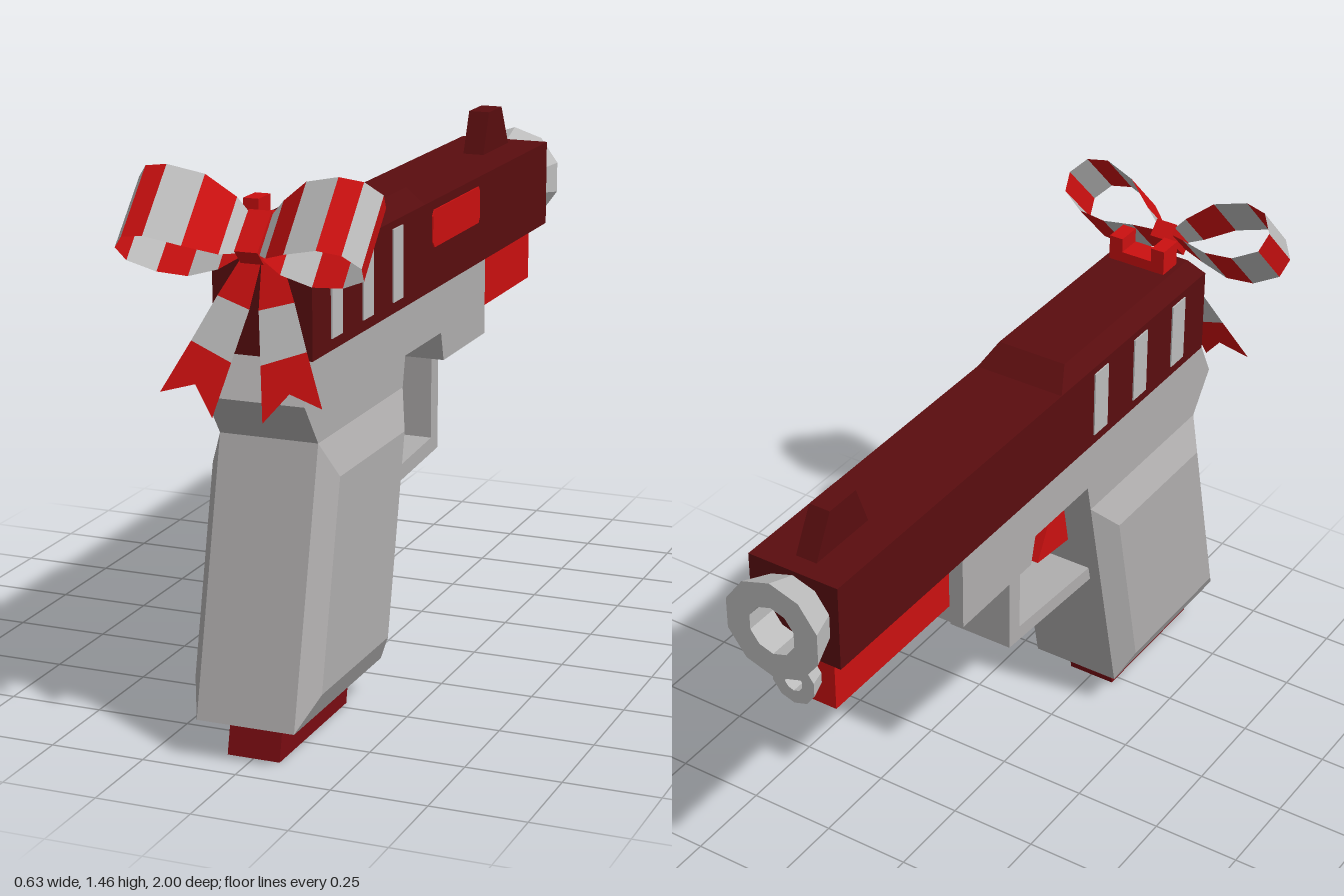
import * as THREE from 'three';
import { ConvexGeometry } from 'three/addons/geometries/ConvexGeometry.js';

const mat = (name, color, side = THREE.FrontSide) => {
  const m = new THREE.MeshStandardMaterial({ color, side });
  m.name = name;
  return m;
};

export function createModel() {
  const model = new THREE.Group();
  const grey = mat('frame grey', 0xb0aeae);
  const pale = mat('pale grey', 0xbcbcbc, THREE.DoubleSide);
  const red = mat('bright red', 0xcb1010, THREE.DoubleSide);
  const dark = mat('dark red', 0x5a0d0f);
  const wine = mat('wine red', 0x7a0c12);

  const add = (name, geometry, material, parent = model) => {
    const mesh = new THREE.Mesh(geometry, material);
    mesh.name = name;
    parent.add(mesh);
    return mesh;
  };

  // Side profile given as [z, y], extruded across x around a centre
  const profile = (name, pts, halfWidth, material, x = 0) => {
    const shape = new THREE.Shape(pts.map(([z, y]) => new THREE.Vector2(z, y)));
    const g = new THREE.ExtrudeGeometry(shape, { depth: halfWidth * 2, bevelEnabled: false });
    g.translate(0, 0, -halfWidth).rotateY(-Math.PI / 2).translate(x, 0, 0);
    return add(name, g, material);
  };
  const rect = (z0, z1, y0, y1) => [[z0, y0], [z1, y0], [z1, y1], [z0, y1]];

  // Convex solid from [x, y, z] points mirrored over x
  const hull = (name, pts, material) => add(name, new ConvexGeometry(
    pts.flatMap(([x, y, z]) => [new THREE.Vector3(x, y, z), new THREE.Vector3(-x, y, z)])), material);

  // Frame with grip, and the swollen grip sides
  profile('frame', [[0.81, 1], [0.86, 0.9], [0.78, 0.79], [0.94, 0.1], [0.38, 0.1], [0.21, 0.87],
    [-0.05, 0.87], [-0.07, 0.79], [-0.39, 0.79], [-0.39, 1]], 0.13, grey);
  hull('gripSides', [
    [0.13, 0.79, 0.78], [0.13, 0.1, 0.94], [0.13, 0.1, 0.38], [0.13, 0.79, 0.228],
    [0.17, 0.7, 0.74], [0.17, 0.18, 0.86], [0.17, 0.18, 0.43], [0.17, 0.7, 0.315]], grey);
  profile('triggerGuard', [[-0.07, 0.8], [-0.12, 0.8], [-0.12, 0.53], [0.3, 0.503], [0.3, 0.545],
    [-0.07, 0.57]], 0.095, grey);
  profile('trigger', [[0.215, 0.86], [0.105, 0.65], [0.26, 0.635]], 0.04, red);
  profile('gripBase', [[0.87, 0.1], [0.893, 0], [0.47, 0], [0.448, 0.1]], 0.07, wine);

  // Slide with raised rear and sights
  profile('slide', rect(-0.91, 0.81, 1, 1.24), 0.13, dark);
  hull('slideRear', [
    [0.13, 1.239, 0.81], [0.13, 1.239, 0.07], [0.1, 1.295, 0.76], [0.1, 1.295, 0.13]], dark);
  profile('frontSight', [[-0.645, 1.24], [-0.69, 1.355], [-0.795, 1.355], [-0.855, 1.24]], 0.03, dark);
  profile('rearSightBase', rect(0.655, 0.725, 1.29, 1.325), 0.085, red);
  for (const s of [-1, 1]) {
    profile('rearSightPost', rect(0.655, 0.725, 1.32, 1.365), 0.02, red, s * 0.065);
    for (const z of [0.665, 0.465, 0.265]) {
      profile('sideSlot', rect(z - 0.033, z + 0.033, 1.03, 1.22), 0.003, pale, s * 0.131);
    }
  }
  profile('sidePort', [[0.01, 1.115], [0.022, 1.13], [0.022, 1.2], [0.01, 1.215], [-0.325, 1.215],
    [-0.335, 1.2], [-0.335, 1.13], [-0.325, 1.115]], 0.003, red, 0.131);

  // Red block under the front, and the two flared rings
  profile('underBlock', rect(-0.88, -0.38, 0.84, 1), 0.088, red);
  const ring = (name, r0, r1, hole, length, y, z) => {
    const pts = [[hole, 0], [r0, 0], [r1, length], [hole, length], [hole, 0]];
    const g = new THREE.LatheGeometry(pts.map(p => new THREE.Vector2(...p)), 10).toNonIndexed();
    g.computeVertexNormals();
    g.rotateX(-Math.PI / 2).translate(0, y, z);
    add(name, g, pale);
  };
  ring('muzzleRing', 0.108, 0.14, 0.068, 0.09, 1.12, -0.91);
  ring('lowerRing', 0.05, 0.065, 0.027, 0.05, 0.92, -0.88);

  // Bow: ribbon loops lie in a tilted plane; h runs up the loop, w across the ribbon
  const bow = new THREE.Group();
  bow.name = 'bow';
  model.add(bow);
  const at = (x, h, w) => [x, 1.33 + 0.7 * h - 0.73 * w, 0.87 + 0.7 * h + 0.68 * w];
  const strip = (name, quads, material) => {
    const v = quads.flatMap(([a, b, c, d]) => [...a, ...b, ...c, ...a, ...c, ...d]);
    const g = new THREE.BufferGeometry();
    g.setAttribute('position', new THREE.Float32BufferAttribute(v, 3));
    g.computeVertexNormals();
    add(name, g, material, bow);
  };
  // [x, h, half ribbon width]
  const loop = [[0.02, -0.04, 0.05], [0.06, -0.005, 0.08], [0.13, 0.053, 0.1], [0.22, 0.083, 0.1],
    [0.28, 0.07, 0.1], [0.315, 0.02, 0.1], [0.305, -0.035, 0.1], [0.24, -0.075, 0.1],
    [0.16, -0.083, 0.1], [0.08, -0.065, 0.085], [0.02, -0.05, 0.05]];
  // Tail rows: [inner x, inner y, outer x, outer y]
  const tail = [[0, 1.235, 0.055, 1.235], [0.012, 1.125, 0.1, 1.15], [0.038, 1.005, 0.15, 1.045]];
  const tp = (x, y) => [x, y, 0.81 + (1.235 - y) * 0.42];

  for (const s of [-1, 1]) {
    const bands = [[], []];
    for (let i = 0; i + 1 < loop.length; i++) {
      const [x0, h0, w0] = loop[i], [x1, h1, w1] = loop[i + 1];
      bands[i % 2].push([at(s * x0, h0, -w0), at(s * x0, h0, w0), at(s * x1, h1, w1), at(s * x1, h1, -w1)]);
    }
    strip('loopPaleBands', bands[0], pale);
    strip('loopRedBands', bands[1], red);

    const row = ([a, b, c, d]) => [tp(s * a, b), tp(s * c, d)];
    const [[a0, b0], [a1, b1], [a2, b2]] = tail.map(row);
    const mid = tp(s * 0.094, 1.025), notch = tp(s * 0.122, 0.95);
    strip('tailTop', [[a0, a1, b1, b0]], red);
    strip('tailBand', [[a1, a2, b2, b1]], pale);
    // Forked end
    strip('tailEnd', [[a2, tp(s * 0.065, 0.88), notch, mid], [mid, notch, tp(s * 0.21, 0.925), b2]], red);
  }

  // Knot in the middle of the bow
  const knot = add('knot', new THREE.BoxGeometry(0.06, 0.05, 0.12), red, bow);
  knot.position.set(...at(0, -0.045, 0));
  knot.rotation.x = Math.PI / 4;

  return model;
}
